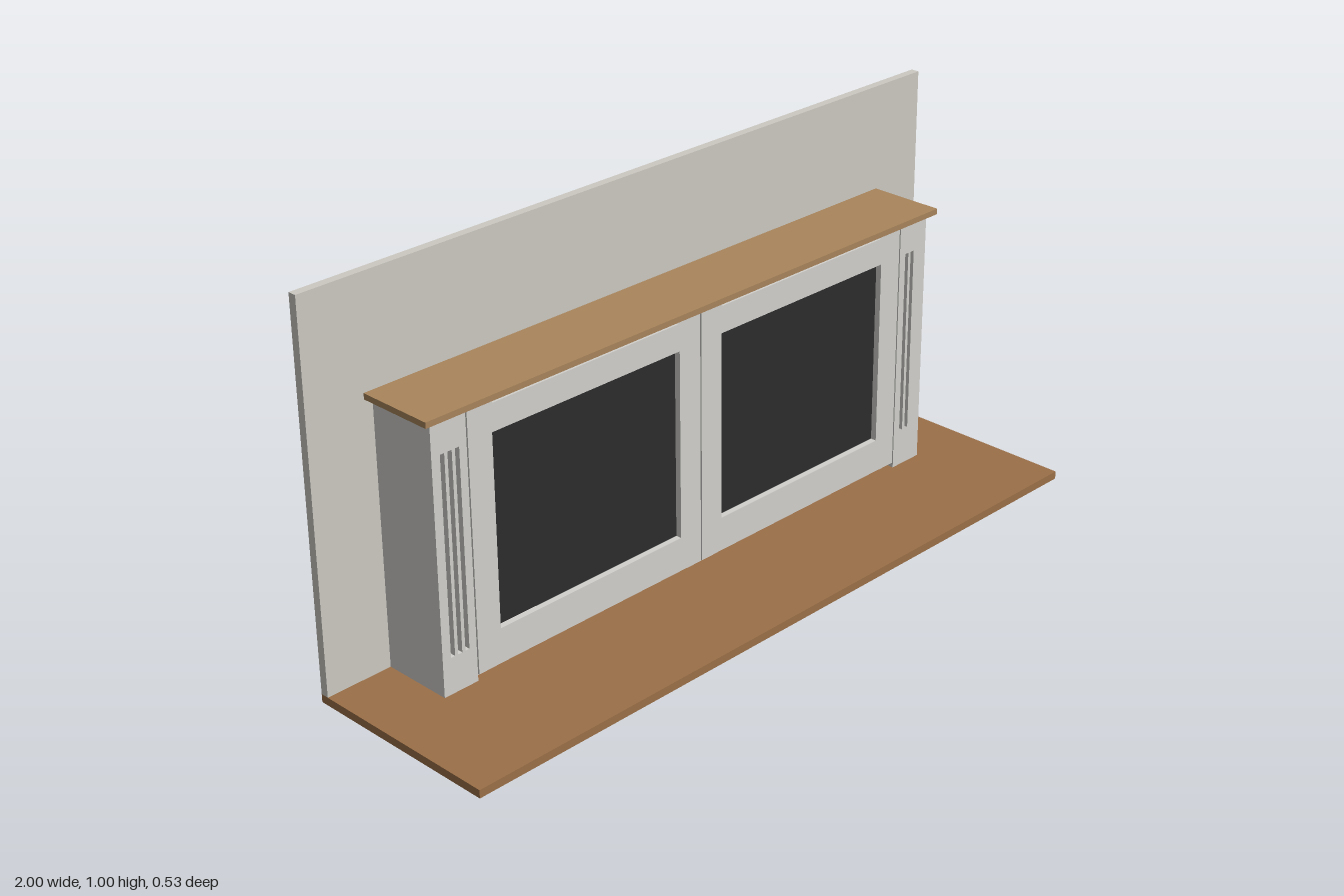
import * as THREE from 'three';

const mat = (color) => new THREE.MeshStandardMaterial({ color });

export function createModel() {
  const group = new THREE.Group();
  const wallMat = mat(0xcdcac3), paint = mat(0xd2d1cd), floorMat = mat(0x9c7048);
  const topMat = mat(0xa9855c), dark = mat(0x2c2c2e);

  // Box given by its min and max corners
  function box(name, material, [x0, y0, z0], [x1, y1, z1]) {
    const mesh = new THREE.Mesh(new THREE.BoxGeometry(x1 - x0, y1 - y0, z1 - z0), material);
    mesh.position.set((x0 + x1) / 2, (y0 + y1) / 2, (z0 + z1) / 2);
    mesh.name = name;
    group.add(mesh);
  }

  const points = (list) => list.map(([x, y]) => new THREE.Vector2(x, y));
  const rect = (x0, y0, x1, y1) => points([[x0, y0], [x0, y1], [x1, y1], [x1, y0]]);

  // Flat board with openings, extruded from the carcass to the front face
  const back = -0.075, front = -0.056;
  function board(name, outline, holes) {
    const shape = new THREE.Shape(outline);
    for (const h of holes) shape.holes.push(new THREE.Path(h));
    const geo = new THREE.ExtrudeGeometry(shape, { depth: front - back, bevelEnabled: false });
    const mesh = new THREE.Mesh(geo, paint);
    mesh.position.z = back;
    mesh.name = name;
    group.add(mesh);
  }

  // Room pieces
  box('floor', floorMat, [-1, 0, -0.267], [1, 0.021, 0.267]);
  box('backWall', wallMat, [-1, 0.021, -0.267], [1, 1, -0.245]);

  // Cabinet carcass and wooden top
  box('carcass', paint, [-0.82, 0.021, -0.245], [0.82, 0.706, back]);
  box('cabinetTop', topMat, [-0.843, 0.706, -0.245], [0.843, 0.721, -0.04]);

  for (const s of [-1, 1]) {
    const side = s > 0 ? 'left' : 'right';

    // Door frame with shaped top and bottom rails
    const outline = points([
      [0.002, 0.036], [0.052, 0.036], [0.075, 0.051], [0.642, 0.051], [0.665, 0.036], [0.717, 0.036],
      [0.717, 0.704], [0.665, 0.704], [0.642, 0.692], [0.075, 0.692], [0.052, 0.704], [0.002, 0.704],
    ].map(([x, y]) => [x * s, y]));
    board(side + 'DoorFrame', outline, [rect(0.07 * s, 0.127, 0.648 * s, 0.622)]);

    // Dark inset panel
    const xs = [0.07 * s, 0.648 * s].sort((a, b) => a - b);
    box(side + 'DoorPanel', dark, [xs[0], 0.127, back], [xs[1], 0.622, back + 0.003]);

    // Pilaster with three flutes
    const flutes = [0.742, 0.763, 0.784].map((x) => rect(x * s, 0.115, (x + 0.012) * s, 0.622));
    board(side + 'Pilaster', rect(0.721 * s, 0.021, 0.82 * s, 0.706), flutes);
  }
  return group;
}
